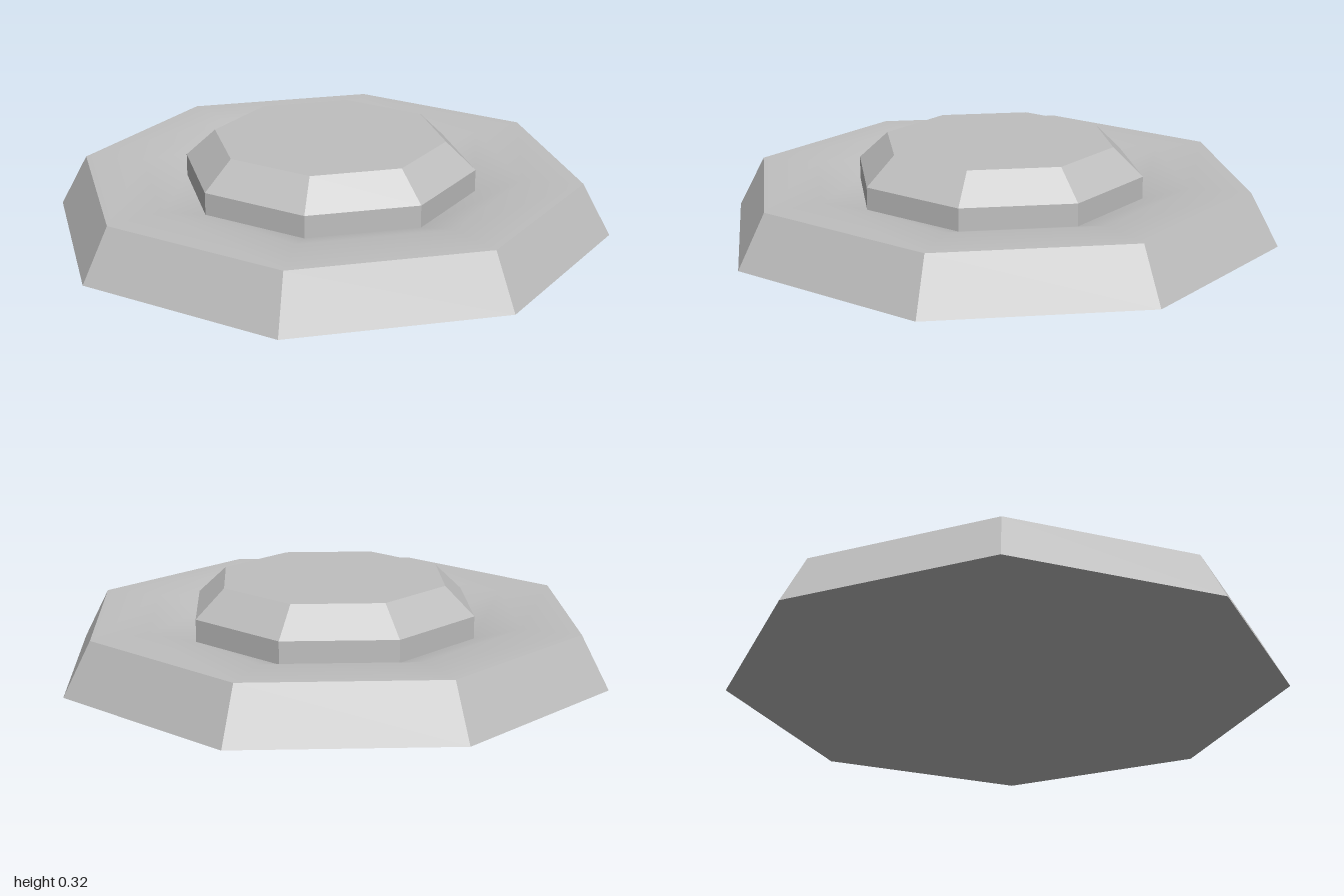
import * as THREE from 'three';

const SIDES = 8;

// Octagonal lathe; faceted gives every face its own flat normal.
function octagon(name, profile, material, faceted = true) {
  const points = profile.map(([r, y]) => new THREE.Vector2(r, y));
  let geometry = new THREE.LatheGeometry(points, SIDES);
  if (faceted) {
    geometry = geometry.toNonIndexed();
    geometry.computeVertexNormals();
  }
  const mesh = new THREE.Mesh(geometry, material);
  mesh.name = name;
  return mesh;
}

export function createModel() {
  const group = new THREE.Group();
  group.name = 'pressurePlate';
  const grey = new THREE.MeshStandardMaterial({ color: 0xbfbfbf });
  grey.name = 'grey';

  // Base: closed underside and sloping outer walls
  group.add(octagon('base', [[0, 0], [1, 0], [0.9, 0.187]], grey));

  // Softly shaded top: flat rim dipping into a recess round the button
  group.add(octagon('recessedTop', [[0.9, 0.187], [0.69, 0.187], [0.52, 0.137]], grey, false));

  // Raised button: short upright wall, wide bevel and flat top
  group.add(octagon('button', [[0.522, 0.135], [0.522, 0.217], [0.415, 0.317], [0, 0.317]], grey));

  return group;
}
